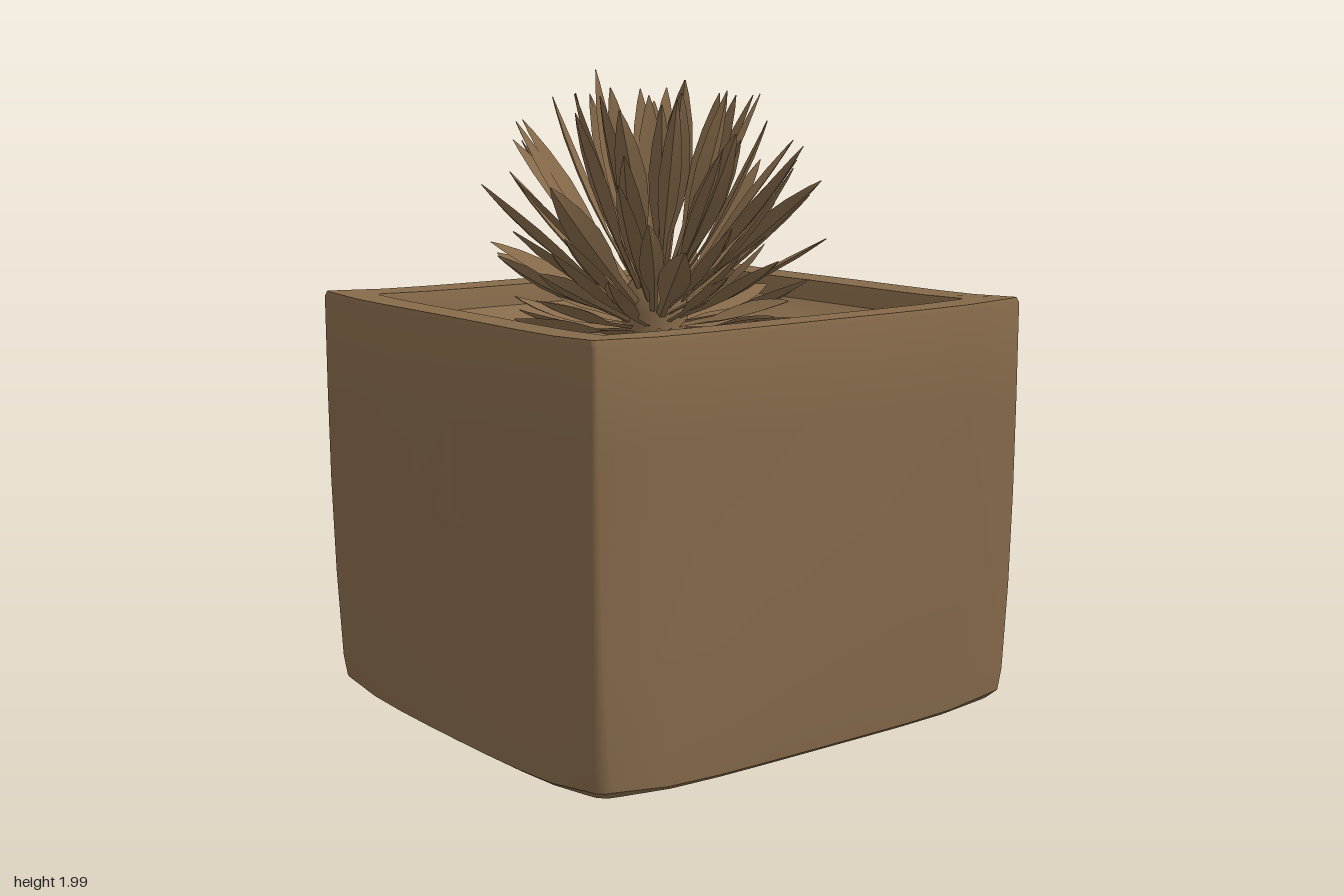
import * as THREE from 'three';
import { mergeGeometries, toCreasedNormals } from 'three/addons/utils/BufferGeometryUtils.js';

const brown = new THREE.MeshStandardMaterial({ color: 0x866a4a });
brown.name = 'clay brown';

// Repeatable random numbers
let seed = 7;
const rand = () => (seed = (seed * 16807) % 2147483647) / 2147483647;
const jitter = (a) => (rand() * 2 - 1) * a;

// Joins equal-length rings of points into a skin
function loft(rings, crease) {
  const n = rings[0].length;
  const index = [];
  for (let i = 0; i < rings.length - 1; i++) {
    for (let j = 0; j < n; j++) {
      const a = i * n + j, b = i * n + (j + 1) % n;
      index.push(a, b, b + n, a, b + n, a + n);
    }
  }
  const geo = new THREE.BufferGeometry().setFromPoints(rings.flat());
  geo.setIndex(index);
  return toCreasedNormals(geo, crease);
}

// Rounded rectangle ring, counter-clockwise from above
function rectRing([hx, hz, r, y, cornerLift = 0]) {
  const pts = [];
  const corners = [[1, 1, -90], [1, -1, 0], [-1, -1, 90], [-1, 1, 180]];
  const arcs = corners.map(([sx, sz, start]) => [0, 1, 2, 3].map((k) => {
    const a = THREE.MathUtils.degToRad(start + k * 30);
    return new THREE.Vector3(sx * (hx - r) + Math.cos(a) * r, y + cornerLift, sz * (hz - r) - Math.sin(a) * r);
  }));
  arcs.forEach((arc, i) => {
    pts.push(...arc);
    const next = arcs[(i + 1) % 4][0];
    for (let k = 1; k < 8; k++) {
      const p = arc[3].clone().lerp(next, k / 8);
      p.y = y + cornerLift * Math.pow(Math.abs(k / 4 - 1), 5);
      pts.push(p);
    }
  });
  // Gentle hand-made unevenness
  for (const p of pts) {
    const x = p.x, z = p.z;
    p.x += 0.007 * Math.sin(3 * z + 4 * p.y) * Math.min(1, hx);
    p.z += 0.007 * Math.sin(4 * x + 3 * p.y + 1) * Math.min(1, hz);
  }
  return pts;
}

// One leaf: thin diamond sections along a curved blade
function leaf(base, azimuth, elevation, length, width, curl, roll) {
  const out = new THREE.Vector3(Math.cos(azimuth), 0, Math.sin(azimuth));
  const up = new THREE.Vector3(0, 1, 0);
  const dir = out.clone().multiplyScalar(Math.cos(elevation)).addScaledVector(up, Math.sin(elevation));
  const side = new THREE.Vector3().crossVectors(out, up).applyAxisAngle(dir, roll);
  const normal = new THREE.Vector3().crossVectors(side, dir);
  const profile = [[0, 0.3], [0.3, 0.35], [0.48, 0.85], [0.63, 1], [0.8, 0.75], [0.93, 0.35], [1, 0.04]];
  const rings = profile.map(([s, w]) => {
    const c = base.clone().addScaledVector(dir, length * s).addScaledVector(normal, curl * (s * s - s));
    const half = width * w, thick = 0.007 * Math.min(1, w + 0.2);
    const at = (u, v) => c.clone().addScaledVector(side, u).addScaledVector(normal, v);
    // edges lifted for a shallow channel
    return [at(half, half * 0.25), at(0, -thick), at(-half, half * 0.25), at(0, thick)];
  });
  return loft(rings, 0.7);
}

export function createModel() {
  const group = new THREE.Group();
  const add = (geo, name) => {
    const mesh = new THREE.Mesh(geo, brown);
    mesh.name = name;
    group.add(mesh);
  };

  // Pot: underside, worn lower edge, walls, rim and inner wall
  const pot = [
    [0, 0, 0, 0.006], [0.5, 0.56, 0.1, 0.006], [0.7, 0.775, 0.06, 0.008, 0.02],
    [0.719, 0.797, 0.05, 0.022, 0.03], [0.724, 0.805, 0.045, 0.12], [0.729, 0.809, 0.03, 0.4],
    [0.732, 0.811, 0.025, 0.7], [0.734, 0.811, 0.02, 1.0], [0.737, 0.811, 0.015, 1.285, 0.008],
    [0.731, 0.806, 0.015, 1.298, 0.01], [0.612, 0.692, 0.02, 1.295, 0.005],
    [0.603, 0.682, 0.02, 1.27], [0.59, 0.668, 0.03, 1.18],
  ];
  add(loft(pot.map(rectRing), 0.6), 'pot');

  // Soil, dished up towards the walls
  const soil = [
    [0.598, 0.676, 0.03, 1.23], [0.55, 0.62, 0.06, 1.19], [0.45, 0.52, 0.1, 1.165],
    [0.3, 0.33, 0.15, 1.15], [0.15, 0.15, 0.12, 1.15], [0, 0, 0, 1.16],
  ];
  add(loft(soil.map(rectRing), 0.9), 'soil');

  // Short stem
  const stemProfile = [[0.12, 1.1], [0.1, 1.18], [0.11, 1.25], [0.095, 1.32], [0.055, 1.37], [0, 1.37]];
  const stem = new THREE.LatheGeometry(stemProfile.map(([r, y]) => new THREE.Vector2(r, y)), 14);
  stem.translate(-0.07, 0, 0);
  add(stem, 'stem');

  // Leaves in a spiral, low at the base and upright on top
  const leaves = [];
  const count = 92;
  for (let i = 0; i < count; i++) {
    const t = (i + 0.5) / count;
    const azimuth = i * 2.39996 + jitter(0.3);
    const r = 0.09 - 0.04 * t * t;
    const base = new THREE.Vector3(-0.07 + r * Math.cos(azimuth), 1.18 + 0.17 * t, r * Math.sin(azimuth));
    const elevation = THREE.MathUtils.degToRad(6 + 70 * t + jitter(7));
    const length = 0.32 + 0.32 * Math.min(1, t * 1.6) + jitter(0.035);
    leaves.push(leaf(base, azimuth, elevation, length, 0.042 + jitter(0.009), 0.06 + jitter(0.05), jitter(0.7)));
  }
  add(mergeGeometries(leaves), 'leaves');

  return group;
}
